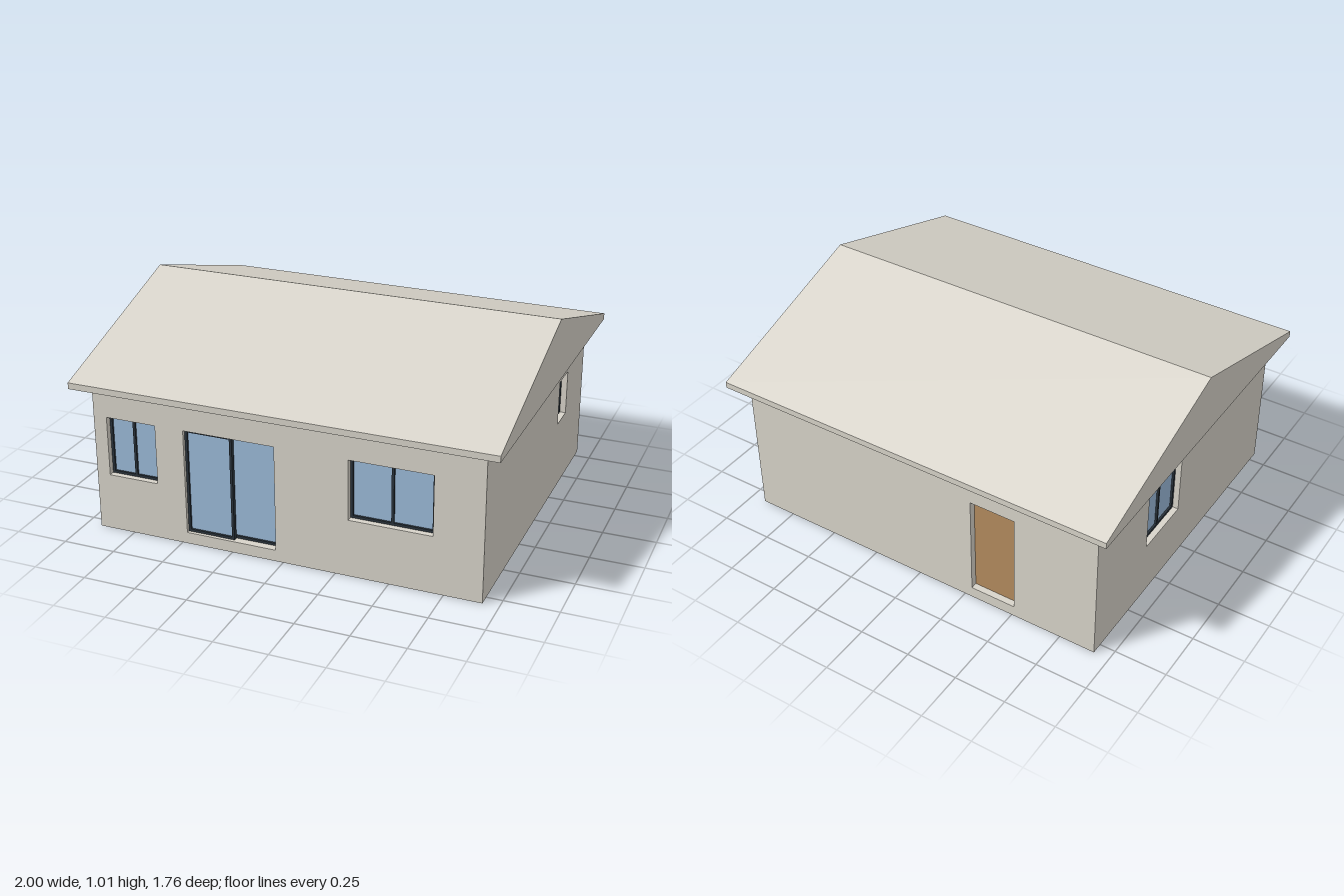
import * as THREE from 'three';

const HALF_X = 0.925, HALF_Z = 0.805, WALL_H = 0.71, THICK = 0.06;
const RECESS = 0.028; // how far frames sit behind the outer wall face
const BAR = 0.012; // frame bar width

const plaster = new THREE.MeshStandardMaterial({ name: 'plaster', color: 0xd8d4ca });
const frameDark = new THREE.MeshStandardMaterial({ name: 'frameDark', color: 0x29323a });
const glass = new THREE.MeshStandardMaterial({ name: 'glass', color: 0x9bbad9 });
const wood = new THREE.MeshStandardMaterial({ name: 'wood', color: 0xb48b5e });

function part(name, geometry, material, parent) {
  const mesh = new THREE.Mesh(geometry, material);
  mesh.name = name;
  parent.add(mesh);
  return mesh;
}

const corners = (x0, x1, y0, y1) =>
  [[x0, y0], [x1, y0], [x1, y1], [x0, y1]].map(([x, y]) => new THREE.Vector2(x, y));

// Upright panel with rectangular holes; its front face lies at z = front
function panel(outer, holes, depth, front) {
  const shape = new THREE.Shape(corners(...outer));
  for (const hole of holes) shape.holes.push(new THREE.Path(corners(...hole).reverse()));
  const geometry = new THREE.ExtrudeGeometry(shape, { depth, bevelEnabled: false });
  return geometry.translate(0, 0, front - depth);
}

function plate([x0, x1, y0, y1], depth, front) {
  return new THREE.BoxGeometry(x1 - x0, y1 - y0, depth)
    .translate((x0 + x1) / 2, (y0 + y1) / 2, front - depth / 2);
}

// Frame with equal panes side by side, glazed slightly behind its face
function glazing(name, [x0, x1, y0, y1], panes, front, parent) {
  const group = new THREE.Group();
  group.name = name;
  parent.add(group);
  const w = (x1 - x0 - BAR * (panes + 1)) / panes;
  const openings = [];
  for (let i = 0; i < panes; i++) {
    const a = x0 + BAR + i * (w + BAR);
    openings.push([a, a + w, y0 + BAR, y1 - BAR]);
  }
  part('frame', panel([x0, x1, y0, y1], openings, 0.02, front), frameDark, group);
  for (const o of openings) part('pane', plate(o, 0.006, front - 0.01), glass, group);
}

// Window: two panes
const windowFill = (rect, parent) => glazing('window', rect, 2, -RECESS, parent);

// Sliding door: two overlapping sashes on separate tracks
function slidingDoor([x0, x1, y0, y1], parent) {
  const mid = (x0 + x1) / 2;
  glazing('frontSash', [x0, mid + BAR * 0.8, y0, y1], 1, -RECESS + 0.012, parent);
  glazing('rearSash', [mid - BAR * 0.8, x1, y0, y1], 1, -RECESS - 0.009, parent);
}

// Plain wooden door leaf
const woodDoor = (rect, parent) =>
  part('doorLeaf', plate(rect, 0.02, -RECESS - 0.004), wood, parent);

// Each wall is built facing +z, then turned to its side of the house
const WALLS = [
  { name: 'frontWall', half: HALF_X, offset: HALF_Z, turn: 0, openings: [
    { rect: [-0.86, -0.615, 0.275, 0.562], fill: windowFill },
    { rect: [-0.475, -0.035, 0.055, 0.562], fill: slidingDoor },
    { rect: [0.312, 0.698, 0.275, 0.562], fill: windowFill } ] },
  { name: 'backWall', half: HALF_X, offset: HALF_Z, turn: Math.PI, openings: [
    { rect: [0.288, 0.512, 0.055, 0.562], fill: woodDoor } ] },
  { name: 'rightGableWall', half: HALF_Z - THICK, offset: HALF_X, turn: Math.PI / 2, openings: [
    { rect: [0.35, 0.495, 0.345, 0.562], fill: windowFill } ] },
  { name: 'leftGableWall', half: HALF_Z - THICK, offset: HALF_X, turn: -Math.PI / 2, openings: [
    { rect: [-0.36, -0.06, 0.275, 0.562], fill: windowFill } ] },
];

export function createModel() {
  const house = new THREE.Group();
  house.name = 'house';

  for (const { name, half, offset, turn, openings } of WALLS) {
    const wall = new THREE.Group();
    wall.name = name;
    part('wallPanel', panel([-half, half, 0, WALL_H], openings.map(o => o.rect), THICK, 0), plaster, wall);
    for (const o of openings) o.fill(o.rect, wall);
    wall.rotation.y = turn;
    wall.position.set(Math.sin(turn) * offset, 0, Math.cos(turn) * offset);
    house.add(wall);
  }

  // Floor slab between the walls
  const slab = new THREE.BoxGeometry(2 * (HALF_X - THICK), 0.055, 2 * (HALF_Z - THICK));
  part('floorSlab', slab.translate(0, 0.0275, 0), plaster, house);

  // Gable roof with a short vertical eave and a flat soffit
  const profile = new THREE.Shape([[-0.88, 0.708], [0.88, 0.708], [0.88, 0.738], [0, 1.015], [-0.88, 0.738]]
    .map(([z, y]) => new THREE.Vector2(z, y)));
  const roof = new THREE.ExtrudeGeometry(profile, { depth: 2, bevelEnabled: false });
  part('gableRoof', roof.translate(0, 0, -1).rotateY(Math.PI / 2), plaster, house);

  return house;
}
